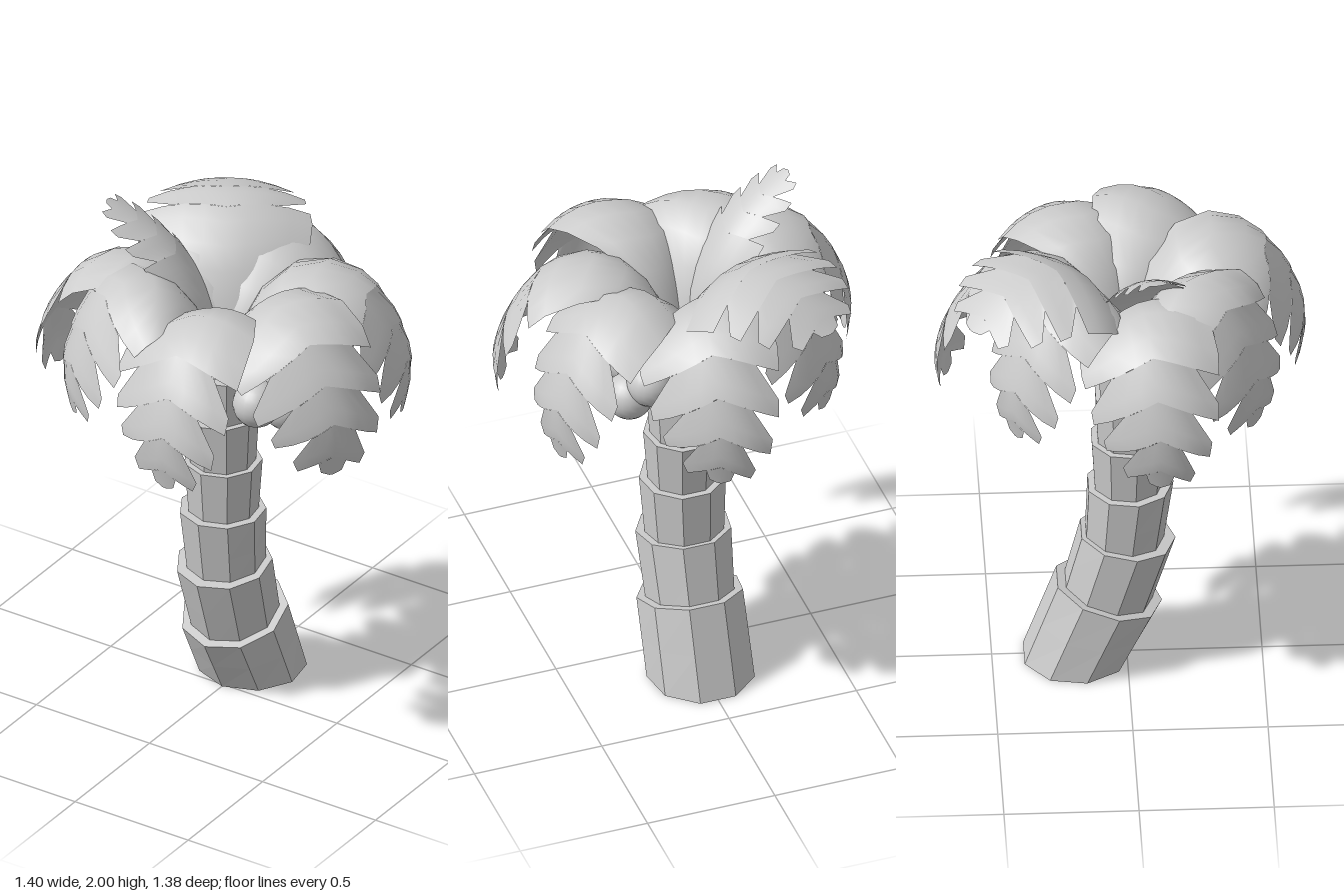
import * as THREE from 'three';

const grey = new THREE.MeshStandardMaterial({ color: 0xcccccc, side: THREE.DoubleSide });
grey.name = 'plain grey';

function addMesh(parent, name, geometry) {
  const mesh = new THREE.Mesh(geometry, grey);
  mesh.name = name;
  parent.add(mesh);
  return mesh;
}

// Faceted trunk piece between two tilted rings, each [y, z, radius, tilt]
function trunkSegment(bottom, top) {
  const g = new THREE.CylinderGeometry(top[2], bottom[2], 1, 9, 2);
  const p = g.attributes.position;
  for (let i = 0; i < p.count; i++) {
    const t = p.getY(i) + 0.5;
    const mix = (k) => THREE.MathUtils.lerp(bottom[k], top[k], t);
    const z = p.getZ(i);
    p.setXYZ(i, p.getX(i), mix(0) - z * mix(3), z + mix(1));
  }
  const flat = g.toNonIndexed();
  flat.computeVertexNormals();
  return flat;
}

// Blade sections: runs of [position along frond, relative width]; each run ends in a pair of blunt teeth
const BLADE = [
  [[0, 0.05], [0.1, 0.2], [0.2, 0.52], [0.3, 0.82], [0.4, 0.98], [0.5, 1], [0.57, 0.97]],
  [[0.57, 0.62], [0.65, 0.92], [0.7, 0.9]],
  [[0.7, 0.5], [0.77, 0.78], [0.82, 0.74]],
  [[0.82, 0.32], [0.89, 0.52], [0.93, 0.45]],
  [[0.93, 0.2], [0.97, 0.15], [1, 0.03]],
];
const ACROSS = 8;

// Arched frond following a spine of [distance out, height] points; roll lifts one long edge
function frondGeometry(spine, halfWidth, arch, roll) {
  const curve = new THREE.CatmullRomCurve3(spine.map(([r, y]) => new THREE.Vector3(r, y, 0)));
  const positions = [], index = [];
  for (const run of BLADE) {
    run.forEach(([t, w], row) => {
      for (let j = 0; j <= ACROSS; j++) {
        const u = w * (j / ACROSS * 2 - 1);
        // the edges sweep forward so the teeth point to the tip
        const at = Math.min(1, t + 0.13 * Math.abs(u) * t);
        const point = curve.getPointAt(at), dir = curve.getTangentAt(at);
        const sag = halfWidth * (arch * u * u + roll * u);
        positions.push(point.x + dir.y * sag, point.y - dir.x * sag, u * halfWidth);
        if (row > 0 && j < ACROSS) {
          const d = positions.length / 3 - 1, b = d - ACROSS - 1;
          index.push(b, d, b + 1, d, d + 1, b + 1);
        }
      }
    });
  }
  const g = new THREE.BufferGeometry();
  g.setAttribute('position', new THREE.Float32BufferAttribute(positions, 3));
  g.setIndex(index);
  g.computeVertexNormals();
  return g;
}

export function createModel() {
  const model = new THREE.Group();
  model.name = 'palmTree';

  // Curved trunk of stacked, flaring rings
  const trunk = new THREE.Group();
  trunk.name = 'trunk';
  model.add(trunk);
  const segments = [
    [[0, -0.19, 0.203, 0], [0.29, -0.07, 0.2, 0.3]],
    [[0.24, -0.085, 0.165, 0.28], [0.54, 0, 0.18, 0.14]],
    [[0.5, -0.015, 0.147, 0.13], [0.775, 0.01, 0.163, 0]],
    [[0.74, 0.005, 0.13, 0], [0.985, 0.008, 0.148, 0]],
    [[0.95, 0.008, 0.122, 0], [1.185, 0.012, 0.137, 0]],
    [[1.15, 0.01, 0.112, 0], [1.37, 0.008, 0.13, 0]],
    [[1.36, 0.005, 0.1, 0], [1.45, 0, 0.025, 0]],
  ];
  segments.forEach(([a, b], i) => addMesh(trunk, 'trunkSegment' + (i + 1), trunkSegment(a, b)));

  // Coconuts hanging on the left side
  const nuts = [[0.19, 1.312, 0.068], [0.235, 1.25, -0.065], [0.17, 1.328, -0.115]];
  nuts.forEach((at, i) => {
    addMesh(model, 'coconut' + (i + 1), new THREE.SphereGeometry(0.09, 20, 14)).position.set(...at);
  });

  // Crown: ring of drooping fronds, one raised frond and one upright young frond
  const crown = new THREE.Group();
  crown.name = 'crown';
  model.add(crown);
  const long = [[0.02, 1.43], [0.1, 1.62], [0.2, 1.74], [0.35, 1.785], [0.52, 1.73], [0.645, 1.56], [0.69, 1.4], [0.665, 1.23]];
  const short = [[0.02, 1.43], [0.1, 1.64], [0.2, 1.77], [0.32, 1.82], [0.46, 1.76], [0.56, 1.6], [0.605, 1.44], [0.585, 1.29]];
  const raised = [[0.02, 1.43], [0.1, 1.66], [0.2, 1.81], [0.36, 1.885], [0.54, 1.86], [0.7, 1.76]];
  const upright = [[0.02, 1.43], [0.08, 1.65], [0.2, 1.83], [0.33, 1.93], [0.46, 2.0]];
  // [name, spine, heading in degrees, half width, arch, roll]
  const fronds = [
    ['frontFrond', long, 76, 0.26, 0.4, 0.3],
    ['leftFrond', long, 20, 0.26, 0.4, 0.3],
    ['backLeftFrond', long, -27, 0.25, 0.4, 0.15],
    ['backFrond', long, -82, 0.25, 0.4, 0.3],
    ['backRightFrond', short, -133, 0.25, 0.4, 0.1],
    ['rightFrond', long, 172, 0.25, 0.4, 0.25],
    ['frontRightFrond', short, 129, 0.28, 0.35, 0],
    ['raisedFrond', raised, -122, 0.32, 0.28, 0],
    ['youngFrond', upright, 167, 0.15, 0.35, 0],
  ];
  for (const [name, spine, heading, width, arch, roll] of fronds) {
    addMesh(crown, name, frondGeometry(spine, width, arch, roll)).rotation.y = -THREE.MathUtils.degToRad(heading);
  }

  return model;
}
